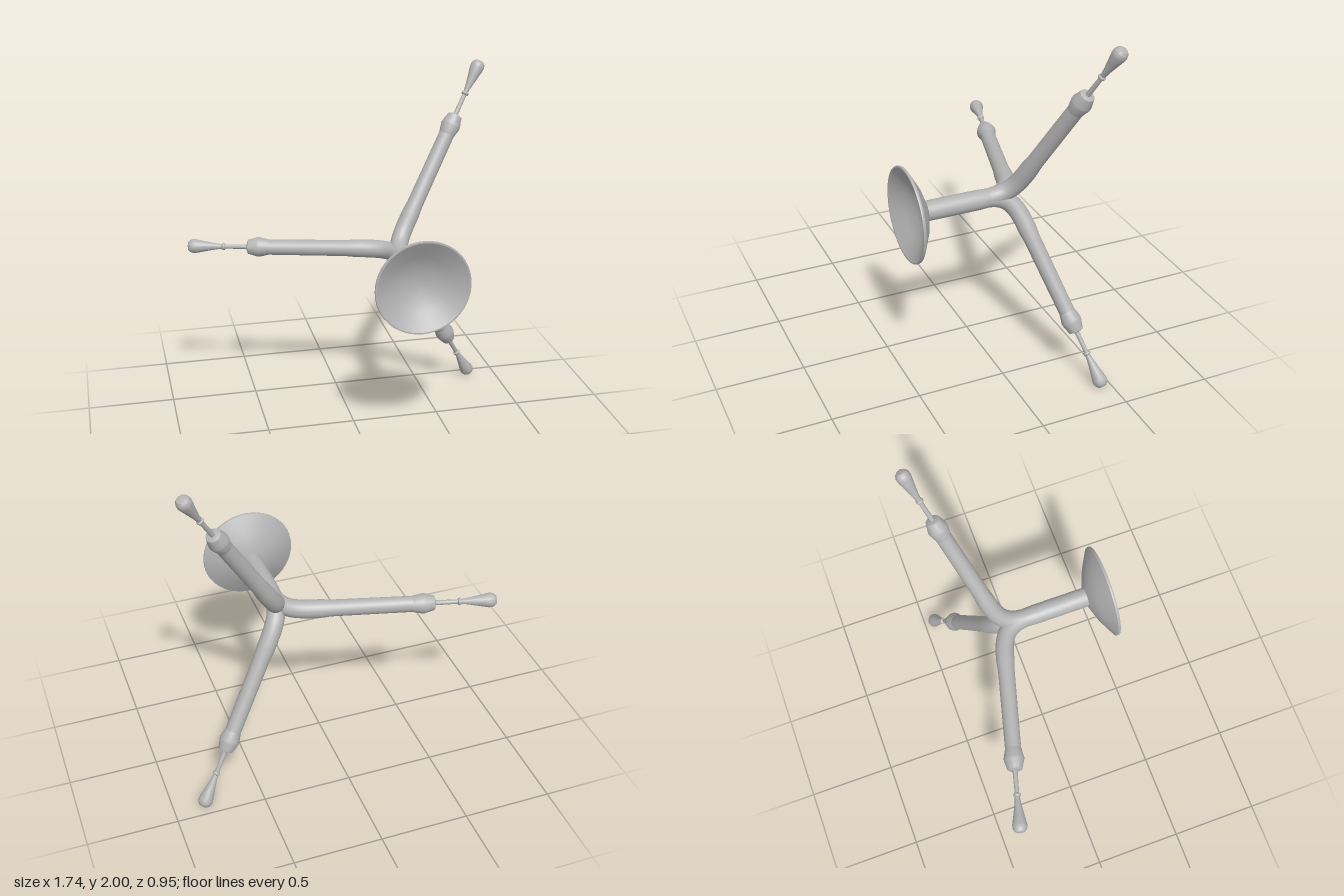
import * as THREE from 'three';
import { toCreasedNormals } from 'three/addons/utils/BufferGeometryUtils.js';

const TILT = Math.PI / 12; // arms sweep backwards by 15 degrees
const HUB_X = 0.27, HUB_Y = 1;

// Lathe from [radius, height] pairs, smooth but with sharp edges kept
function lathe(points, segments) {
  const geo = new THREE.LatheGeometry(points.map(([r, h]) => new THREE.Vector2(r, h)), segments);
  return toCreasedNormals(geo, 0.45);
}

export function createModel() {
  const model = new THREE.Group();
  model.name = 'threeArmedStand';
  const grey = new THREE.MeshStandardMaterial({ color: 0xb4b4b4 });
  grey.name = 'grey';

  const hub = new THREE.Group();
  hub.name = 'body';
  hub.position.set(HUB_X, HUB_Y, 0);
  model.add(hub);

  const add = (parent, name, geo) => {
    const mesh = new THREE.Mesh(geo, grey);
    mesh.name = name;
    parent.add(mesh);
  };

  // Hollow dish facing forward, with a flat disc at its bottom
  add(hub, 'dish', lathe([
    [0, 0.36], [0.065, 0.36], [0.165, 0.4], [0.262, 0.455], [0.264, 0.463],
    [0.262, 0.47], [0.254, 0.47], [0.16, 0.415], [0.087, 0.378], [0, 0.376],
  ], 48).rotateX(Math.PI / 2));

  // Stem behind the dish
  add(hub, 'stem', lathe([
    [0, -0.13], [0.03, -0.12], [0.047, -0.09], [0.05, -0.03], [0.055, 0.05], [0.055, 0.365],
  ], 32).rotateX(Math.PI / 2));

  // Elbow that bends out of the stem into an arm
  const elbowPath = new THREE.CubicBezierCurve3(
    new THREE.Vector3(0, 0, 0.03), new THREE.Vector3(0, 0, -0.12),
    new THREE.Vector3(0.06, 0, -0.155), new THREE.Vector3(0.2, 0, -0.193));
  const elbow = new THREE.TubeGeometry(elbowPath, 20, 0.051, 24);

  // Arm parts run along the tilted axis, starting inside the elbow
  const along = (geo) => geo.rotateZ(-Math.PI / 2).rotateY(TILT).translate(0.18, 0, -0.187);
  const tube = along(lathe([
    [0.051, 0], [0.051, 0.03], [0.046, 0.09], [0.044, 0.54],
  ], 24));
  const collar = along(lathe([
    [0.044, 0.53], [0.056, 0.585], [0.055, 0.597], [0.04, 0.65], [0.028, 0.655], [0, 0.655],
  ], 24));
  const rod = along(lathe([
    [0.014, 0.64], [0.012, 0.78], [0.019, 0.783], [0.021, 0.79], [0.019, 0.797], [0.013, 0.8],
  ], 20));
  const bulb = along(lathe([
    [0.013, 0.795], [0.018, 0.835], [0.031, 0.905], [0.04, 0.95],
    [0.04, 0.966], [0.035, 0.98], [0.024, 0.992], [0, 0.997],
  ], 24));

  // Three equal arms around the stem
  ['upperArm', 'sideArm', 'lowerArm'].forEach((name, i) => {
    const arm = new THREE.Group();
    arm.name = name;
    arm.rotation.z = Math.PI / 3 + i * Math.PI * 2 / 3;
    add(arm, 'elbow', elbow);
    add(arm, 'tube', tube);
    add(arm, 'collar', collar);
    add(arm, 'rod', rod);
    add(arm, 'bulb', bulb);
    hub.add(arm);
  });

  return model;
}
